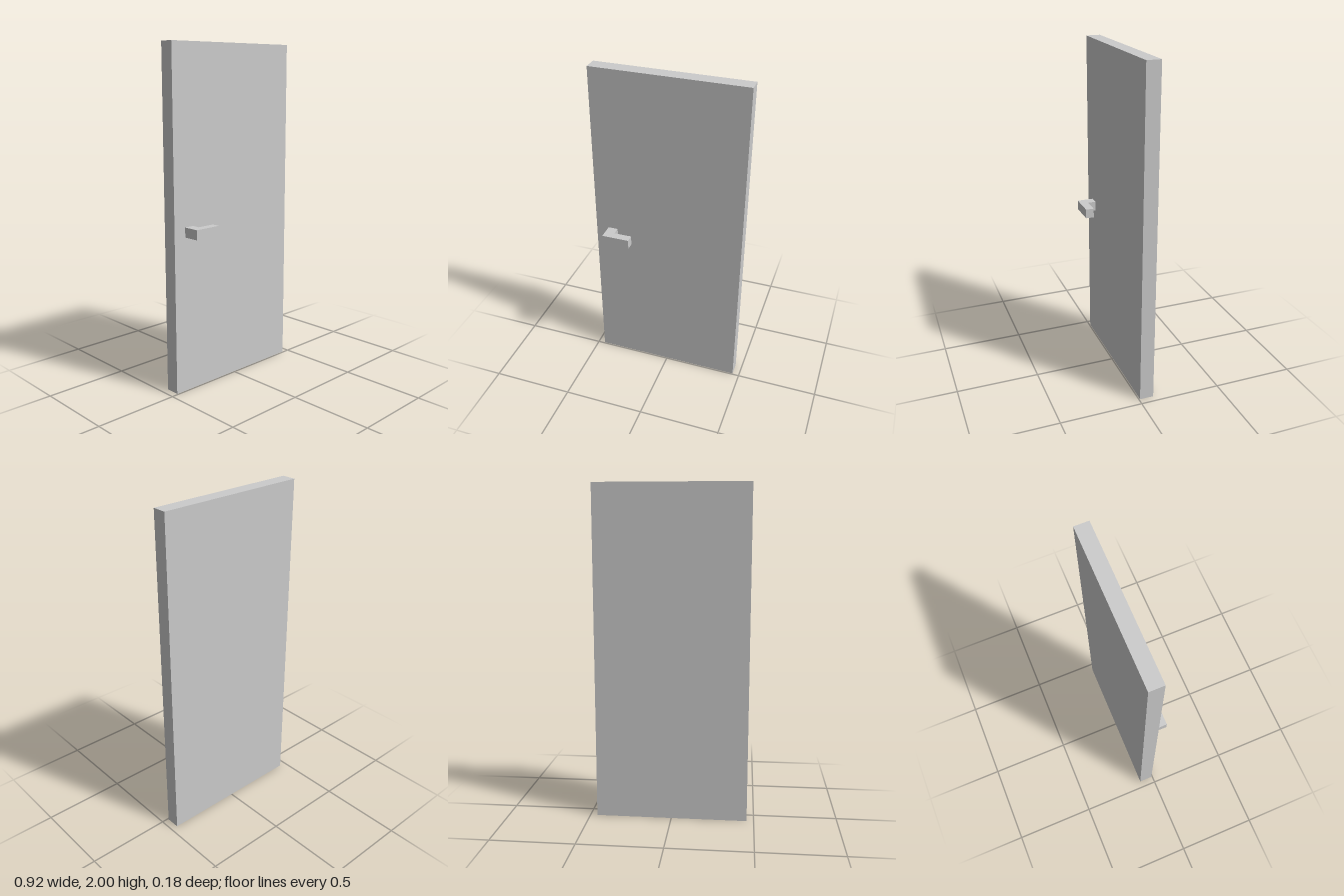
import * as THREE from 'three';

const FRONT = -0.007; // z of the door's front face
const BACK = -0.092;

export function createModel() {
  const group = new THREE.Group();
  group.name = 'door';
  const material = new THREE.MeshStandardMaterial({ color: 0xcccccc, flatShading: true });

  // Plain slab
  const panel = new THREE.Mesh(new THREE.BoxGeometry(0.915, 2, FRONT - BACK), material);
  panel.name = 'doorPanel';
  panel.position.set(0, 1, (FRONT + BACK) / 2);
  group.add(panel);

  // L-shaped lever handle: plan outline as [x, z], extruded upward
  const outline = [
    [-0.38, FRONT], [-0.38, 0.092], [-0.213, 0.092],
    [-0.213, 0.042], [-0.321, 0.042], [-0.321, FRONT],
  ];
  const shape = new THREE.Shape(outline.map(([x, z]) => new THREE.Vector2(x, -z)));
  const geometry = new THREE.ExtrudeGeometry(shape, { depth: 0.058, bevelEnabled: false });
  geometry.rotateX(-Math.PI / 2);
  const handle = new THREE.Mesh(geometry, material);
  handle.name = 'leverHandle';
  handle.position.y = 0.921;
  group.add(handle);

  return group;
}
